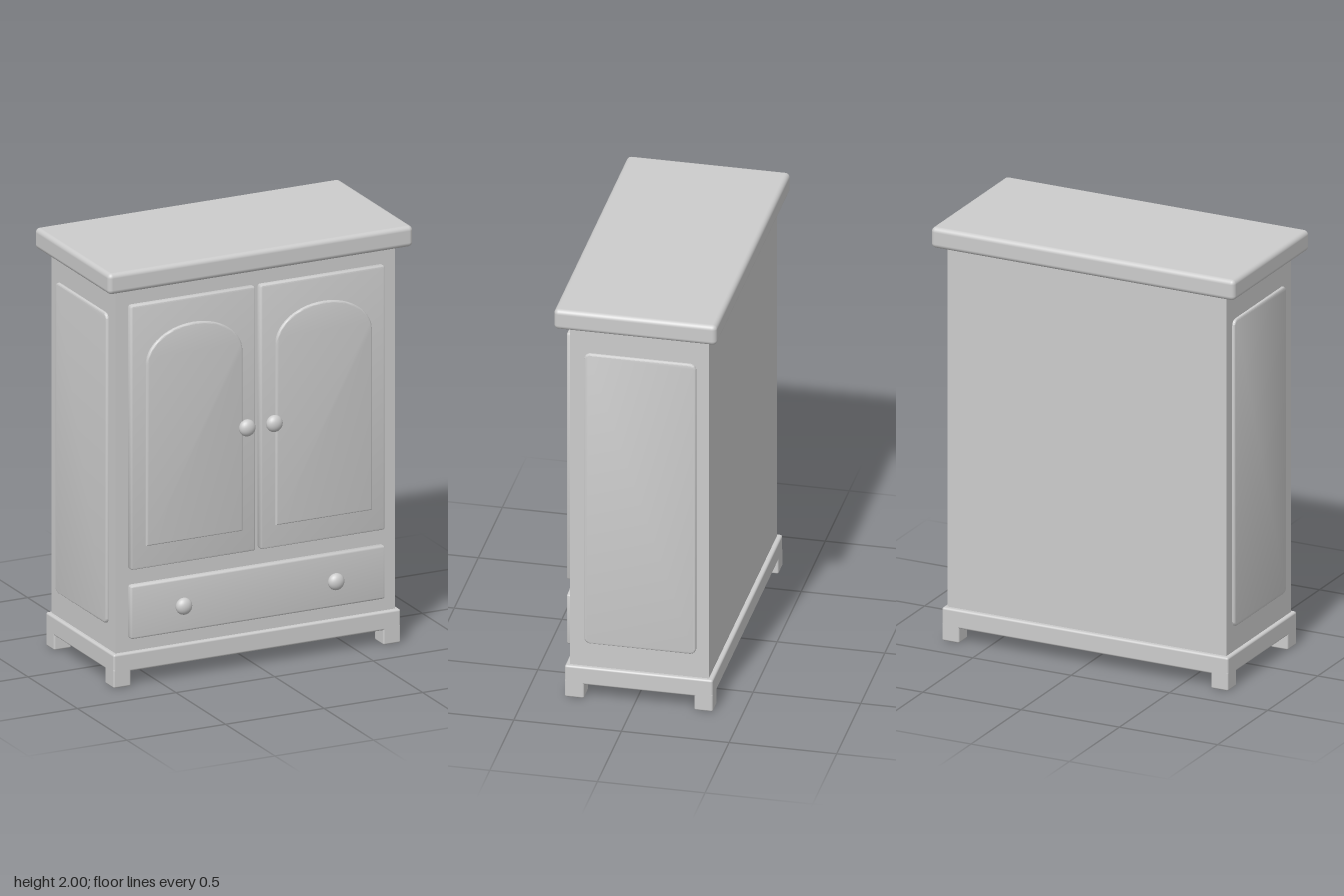
import * as THREE from 'three';
import { toCreasedNormals } from 'three/addons/utils/BufferGeometryUtils.js';
import { RoundedBoxGeometry } from 'three/addons/geometries/RoundedBoxGeometry.js';

const paint = new THREE.MeshStandardMaterial({ color: 0xcccccc });
paint.name = 'plainGrey';

function add(parent, name, geometry, x = 0, y = 0, z = 0) {
  const mesh = new THREE.Mesh(geometry, paint);
  mesh.name = name;
  mesh.position.set(x, y, z);
  parent.add(mesh);
  return mesh;
}

// Box given by its limits, with rounded edges when radius > 0
function block(parent, name, [x0, x1], [y0, y1], [z0, z1], radius = 0) {
  const size = [x1 - x0, y1 - y0, z1 - z0];
  const geometry = radius
    ? new RoundedBoxGeometry(...size, 3, radius)
    : new THREE.BoxGeometry(...size);
  return add(parent, name, geometry, (x0 + x1) / 2, (y0 + y1) / 2, (z0 + z1) / 2);
}

// Rectangle outline with rounded corners, centred on the origin
function roundedRect(w, h, r) {
  const s = new THREE.Shape();
  const a = w / 2 - r, b = h / 2 - r;
  s.absarc(a, b, r, 0, Math.PI / 2);
  s.absarc(-a, b, r, Math.PI / 2, Math.PI);
  s.absarc(-a, -b, r, Math.PI, Math.PI * 1.5);
  s.absarc(a, -b, r, Math.PI * 1.5, Math.PI * 2);
  s.closePath();
  return s;
}

// Outline with a square foot and an elliptical arch on top
function archShape(w, y0, spring, y1) {
  const s = new THREE.Shape();
  s.moveTo(-w / 2, y0);
  s.lineTo(w / 2, y0);
  s.lineTo(w / 2, spring);
  s.absellipse(0, spring, w / 2, y1 - spring, 0, Math.PI);
  s.closePath();
  return s;
}

// Plate from z = 0 to z = depth whose front rim is softened
function plate(shape, depth, bevel) {
  const geometry = new THREE.ExtrudeGeometry(shape, {
    depth: depth - 2 * bevel, curveSegments: 14,
    bevelThickness: bevel, bevelSize: bevel, bevelOffset: -bevel, bevelSegments: 3,
  });
  geometry.translate(0, 0, bevel);
  return toCreasedNormals(geometry, 0.6);
}

export function createModel() {
  const group = new THREE.Group();
  group.name = 'wardrobe';

  // Carcass, cornice and plinth
  block(group, 'body', [-0.709, 0.709], [0.12, 1.93], [-0.341, 0.305]);
  block(group, 'topBoard', [-0.773, 0.773], [1.9, 2], [-0.39, 0.367], 0.022);
  block(group, 'plinth', [-0.728, 0.728], [0.07, 0.16], [-0.363, 0.325], 0.01);

  // Feet
  for (const sx of [-1, 1]) {
    const xs = sx > 0 ? [0.64, 0.728] : [-0.728, -0.64];
    block(group, 'frontFoot', xs, [0, 0.09], [0.235, 0.325], 0.008);
    block(group, 'backFoot', xs, [0, 0.09], [-0.363, -0.277], 0.008);
  }

  // Drawer front
  add(group, 'drawer', plate(roundedRect(1.29, 0.255, 0.012), 0.045, 0.01), 0, 0.352, 0.29);

  const knob = new THREE.SphereGeometry(0.04, 24, 16);
  knob.scale(1, 1, 0.72);

  for (const sx of [-1, 1]) {
    const side = sx > 0 ? 'left' : 'right';

    // Door with its raised arched panel
    add(group, side + 'Door', plate(roundedRect(0.633, 1.265, 0.012), 0.045, 0.01),
      sx * 0.3285, 1.1875, 0.29);
    add(group, side + 'DoorPanel', plate(archShape(0.487, 0.665, 1.53, 1.7), 0.03, 0.008),
      sx * 0.3285, 0, 0.32);

    // Knobs
    add(group, side + 'DoorKnob', knob, sx * 0.069, 1.16, 0.361);
    add(group, side + 'DrawerKnob', knob, sx * 0.386, 0.352, 0.353);

    // Raised panel on the end wall
    const panel = add(group, side + 'SidePanel',
      plate(roundedRect(0.52, 1.485, 0.03), 0.03, 0.008), sx * 0.692, 1.0225, -0.023);
    panel.rotation.y = sx * Math.PI / 2;
  }
  return group;
}
